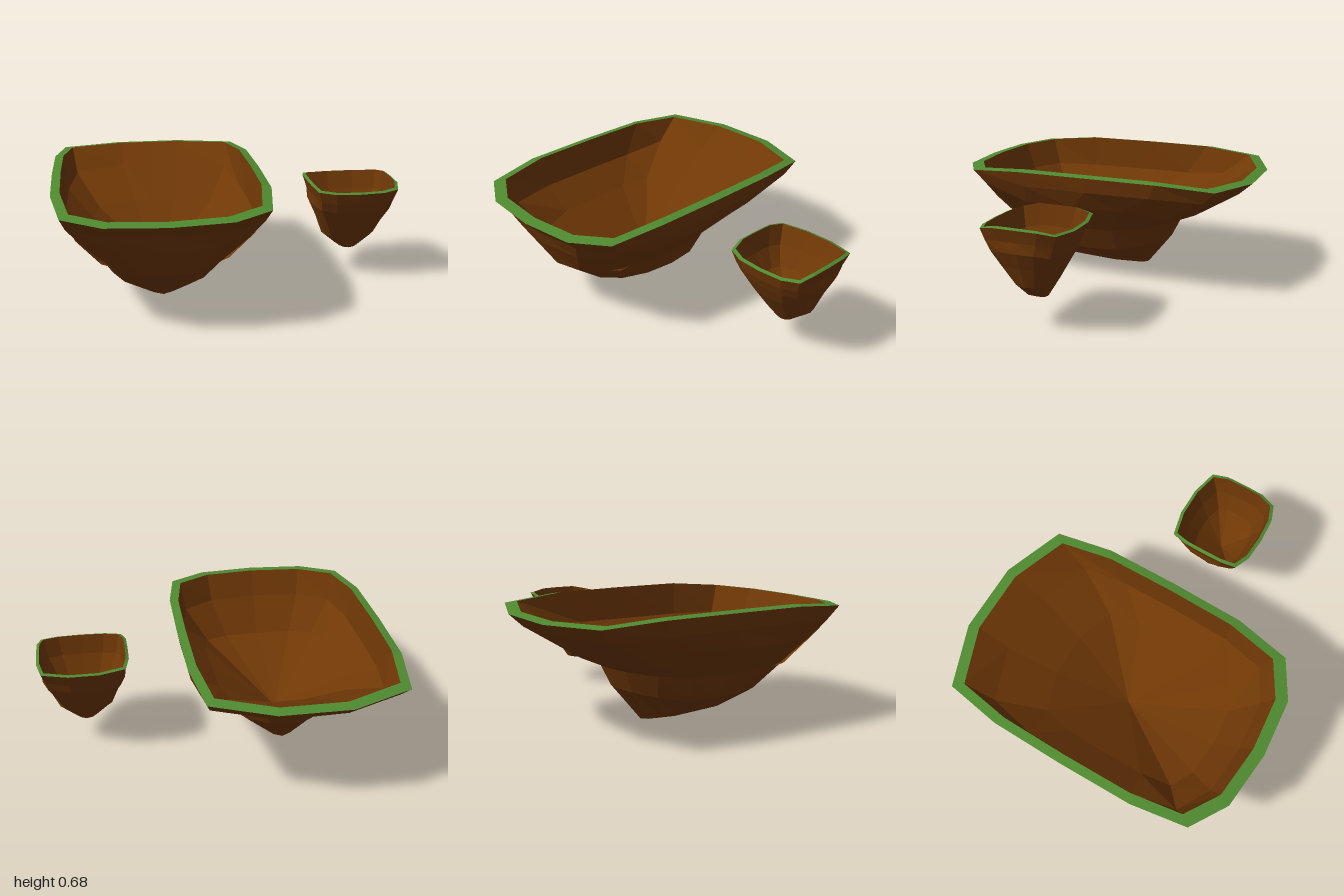
import * as THREE from 'three';

// Half outline of a boxy rim, front centre to back centre, in unit width and length
const HALF = [[0, 1], [0.55, 0.965], [0.9, 0.82], [0.99, 0.46], [1, -0.02], [0.99, -0.49], [0.9, -0.855], [0.33, -1], [0, -1]];

// Closed ring: half width, front z, back z, height at sides / front / back, roundness (0 boxy, 1 oval)
function ring([hw, zf, zb, ySide, yFront, yBack, round]) {
  const half = HALF.map(([u, v], i) => {
    const a = (i * Math.PI) / 8;
    const x = THREE.MathUtils.lerp(u, Math.sin(a), round);
    const z = THREE.MathUtils.lerp(v, Math.cos(a), round);
    // level along the sides, then a straight run to each end
    const run = Math.max(0, (Math.abs(z) - 0.45) / 0.55);
    const y = THREE.MathUtils.lerp(ySide, z > 0 ? yFront : yBack, run);
    return new THREE.Vector3(x * hw, y, (zf + zb) / 2 + (z * (zf - zb)) / 2);
  });
  const mirrored = half.slice(1, -1).reverse().map((p) => new THREE.Vector3(-p.x, p.y, p.z));
  return half.concat(mirrored);
}

// Skin between successive rings; a ring of zero width is a pole
function loft(specs) {
  const rings = specs.map(ring);
  const pos = [];
  const tri = (...pts) => pts.forEach((p) => pos.push(p.x, p.y, p.z));
  for (let r = 0; r < rings.length - 1; r++) {
    const a = rings[r], b = rings[r + 1], n = a.length;
    for (let i = 0; i < n; i++) {
      const j = (i + 1) % n;
      if (specs[r + 1][0] > 0) tri(a[i], b[i], b[j]);
      if (specs[r][0] > 0) tri(a[i], b[j], a[j]);
    }
  }
  const geo = new THREE.BufferGeometry();
  geo.setAttribute('position', new THREE.Float32BufferAttribute(pos, 3));
  geo.computeVertexNormals();
  return geo;
}

function basin(name, x, inside, outside, soil, grass) {
  const group = new THREE.Group();
  group.name = name;
  group.position.x = x;
  const add = (part, specs, mat) => {
    const mesh = new THREE.Mesh(loft(specs), mat);
    mesh.name = part;
    group.add(mesh);
  };
  add('innerWall', inside, soil);
  add('grassRim', [inside[inside.length - 1], outside[0]], grass);
  add('outerWall', outside, soil);
  return group;
}

export function createModel() {
  const soil = new THREE.MeshStandardMaterial({ color: 0x703806, flatShading: true });
  soil.name = 'brown soil';
  const grass = new THREE.MeshStandardMaterial({ color: 0x4f8a30, flatShading: true });
  grass.name = 'green grass';

  const model = new THREE.Group();
  model.name = 'floatingBasins';

  // Large basin: rings run centre to rim inside, then rim to keel outside
  model.add(basin('largeBasin', -0.403, [
    [0, 0.02, 0.02, 0.09, 0.09, 0.09, 0],
    [0.38, 0.6, -0.38, 0.36, 0.29, 0.38, 0],
    [0.525, 0.75, -0.66, 0.49, 0.49, 0.54, 0.05],
    [0.548, 0.82, -0.83, 0.677, 0.64, 0.64, 0],
  ], [
    [0.598, 0.887, -0.893, 0.668, 0.63, 0.63, 0],
    [0.58, 0.82, -0.82, 0.58, 0.56, 0.56, 0.08],
    [0.53, 0.78, -0.58, 0.47, 0.46, 0.4, 0.42],
    [0.37, 0.7, -0.42, 0.3, 0.3, 0.33, 0.75],
    [0.3, 0.52, -0.36, 0.16, 0.16, 0.21, 0.85],
    [0.13, 0.3, -0.21, 0.06, 0.03, 0.02, 1],
    [0, 0.02, 0.02, 0, 0, 0, 0],
  ], soil, grass));

  // Small basin
  model.add(basin('smallBasin', 0.74, [
    [0, 0.01, 0.01, 0.21, 0.21, 0.21, 0],
    [0.175, 0.16, -0.13, 0.36, 0.33, 0.36, 0.2],
    [0.225, 0.215, -0.185, 0.47, 0.45, 0.46, 0.1],
    [0.243, 0.238, -0.225, 0.588, 0.562, 0.565, 0],
  ], [
    [0.26, 0.257, -0.243, 0.58, 0.555, 0.56, 0],
    [0.24, 0.24, -0.215, 0.51, 0.49, 0.49, 0.08],
    [0.24, 0.215, -0.198, 0.45, 0.43, 0.43, 0.3],
    [0.2, 0.175, -0.155, 0.36, 0.35, 0.35, 0.5],
    [0.16, 0.105, -0.1, 0.25, 0.24, 0.25, 0.8],
    [0.075, 0.055, -0.05, 0.18, 0.16, 0.16, 1],
    [0, 0.01, 0.01, 0.145, 0.145, 0.145, 0],
  ], soil, grass));

  return model;
}
